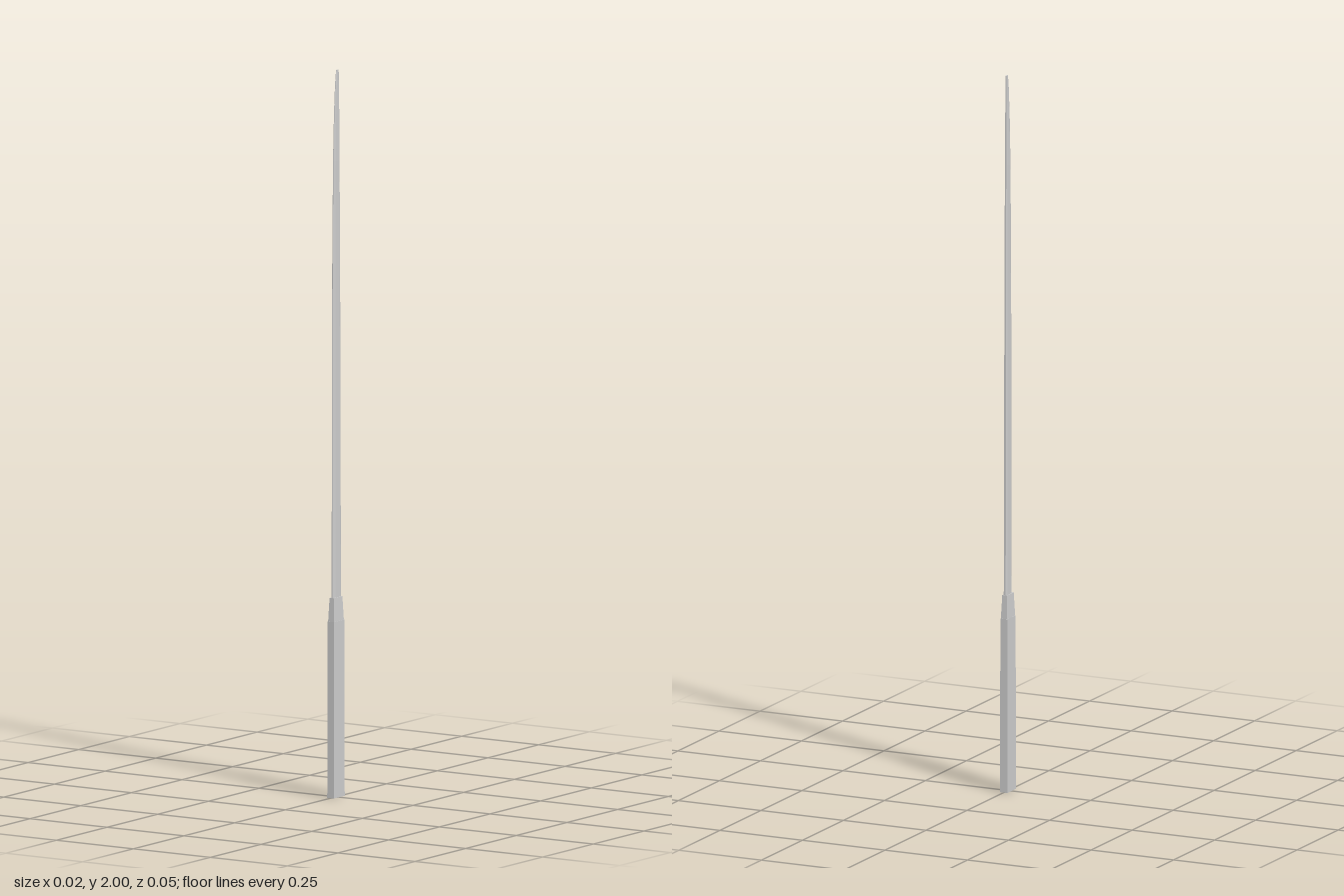
import * as THREE from 'three';

const material = new THREE.MeshStandardMaterial({ color: 0xcccccc, flatShading: true });

// Skin between horizontal rings (counter-clockwise seen from above), with both ends capped
function loft(name, rings) {
  const n = rings[0].length;
  const index = [];
  for (let r = 0; r < rings.length - 1; r++) {
    for (let i = 0; i < n; i++) {
      const a = r * n + i, b = r * n + (i + 1) % n;
      index.push(a, b, b + n, a, b + n, a + n);
    }
  }
  const top = (rings.length - 1) * n;
  for (let i = 1; i < n - 1; i++) {
    index.push(0, i + 1, i, top, top + i, top + i + 1);
  }
  const geometry = new THREE.BufferGeometry();
  geometry.setAttribute('position', new THREE.Float32BufferAttribute(rings.flat(2), 3));
  geometry.setIndex(index);
  const flat = geometry.toNonIndexed();
  flat.computeVertexNormals();
  const mesh = new THREE.Mesh(flat, material);
  mesh.name = name;
  return mesh;
}

// Rectangular ring
const rect = (y, x, z) => [[-x, y, z], [x, y, z], [x, y, -z], [-x, y, -z]];

// Blade ring: narrow cutting edge at the front, flat sides, bevelled spine at the back
function bladeRing([y, front, back, x]) {
  const depth = front - back;
  const edge = x * 0.25, spine = x * 0.6;
  const f = front - depth * 0.25, b = back + depth * 0.15;
  return [
    [-edge, y, front], [edge, y, front], [x, y, f], [x, y, b],
    [spine, y, back], [-spine, y, back], [-x, y, b], [-x, y, f],
  ];
}

export function createModel() {
  const group = new THREE.Group();

  // Grip and its tapered collar
  group.add(loft('grip', [rect(0, 0.011, 0.0265), rect(0.485, 0.0105, 0.0255)]));
  group.add(loft('collar', [rect(0.485, 0.0095, 0.0245), rect(0.55, 0.007, 0.021)]));

  // Blade stations: height, front z, back z, half thickness
  const stations = [
    [0.53, 0.02, -0.02, 0.005],
    [1.0, 0.0185, -0.0185, 0.0045],
    [1.43, 0.0175, -0.017, 0.004],
    [1.75, 0.0135, -0.0145, 0.0035],
    [1.88, 0.009, -0.0135, 0.003],
    [1.96, 0.004, -0.0125, 0.0025],
    [2.0, -0.001, -0.0115, 0.002],
  ];
  group.add(loft('blade', stations.map(bladeRing)));

  return group;
}
